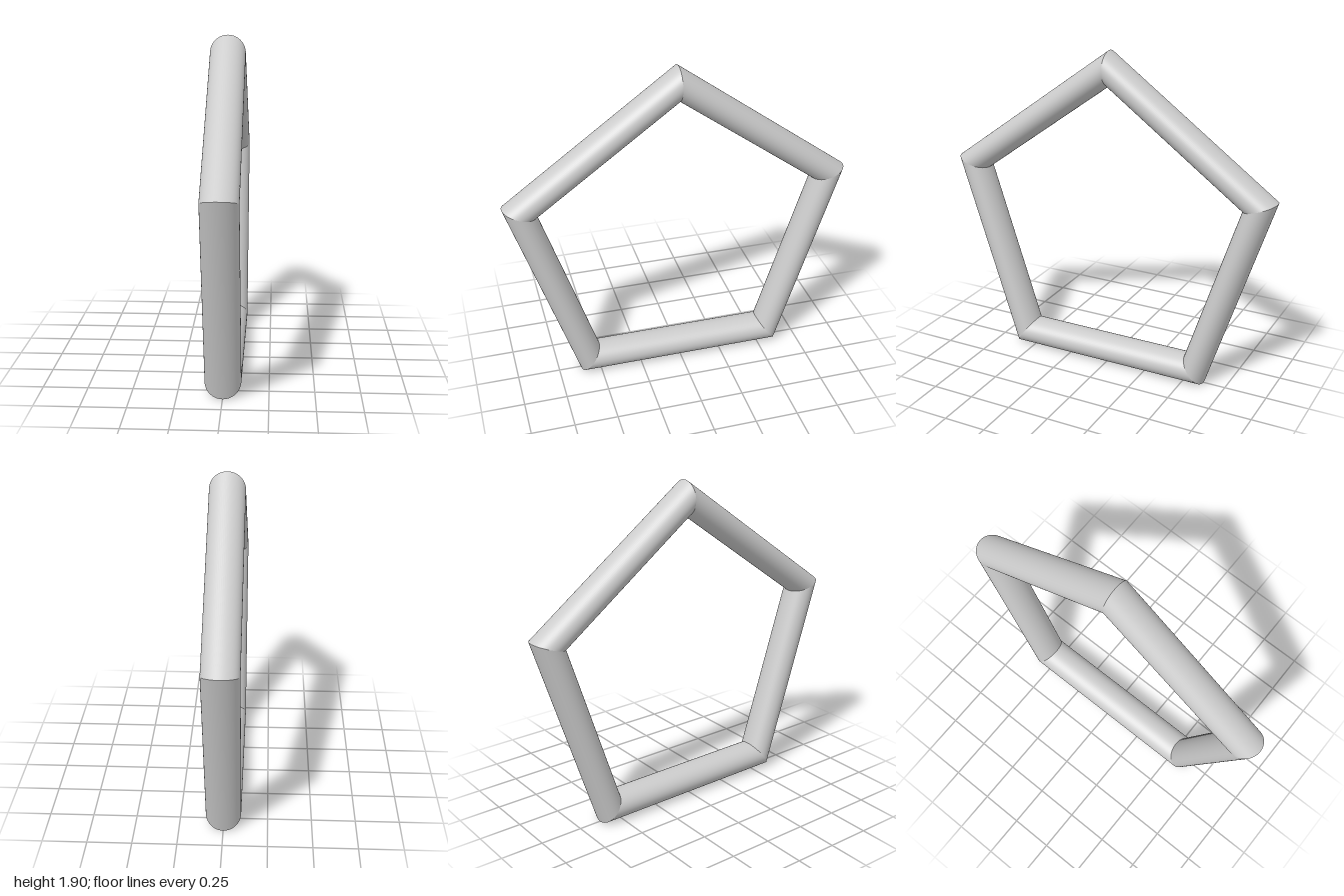
import * as THREE from 'three';

const SIDES = 5;
const RING = 0.951; // centre to the corner of the tube's centre line
const TUBE = 0.1;
const HALF = Math.PI / SIDES;

// Bottom bar: oval tube along z, its ends mitred to meet the neighbouring bars
function barGeometry() {
  const g = new THREE.CylinderGeometry(TUBE, TUBE, 1, 64, 1, true);
  g.rotateX(Math.PI / 2);
  g.scale(1, Math.cos(HALF), 1);
  g.translate(0, -RING * Math.cos(HALF), 0);
  const p = g.attributes.position;
  for (let i = 0; i < p.count; i++) {
    p.setZ(i, Math.sign(p.getZ(i)) * -p.getY(i) * Math.tan(HALF));
  }
  return g;
}

export function createModel() {
  const model = new THREE.Group();
  model.name = 'pentagonRing';
  const material = new THREE.MeshStandardMaterial({ color: 0xcccccc });
  const geometry = barGeometry();

  // Five equal bars around the x axis, the flat one resting on the ground
  for (let i = 0; i < SIDES; i++) {
    const bar = new THREE.Mesh(geometry, material);
    bar.name = `bar${i + 1}`;
    bar.rotation.x = i * 2 * HALF;
    bar.position.y = (RING + TUBE) * Math.cos(HALF);
    model.add(bar);
  }
  return model;
}
